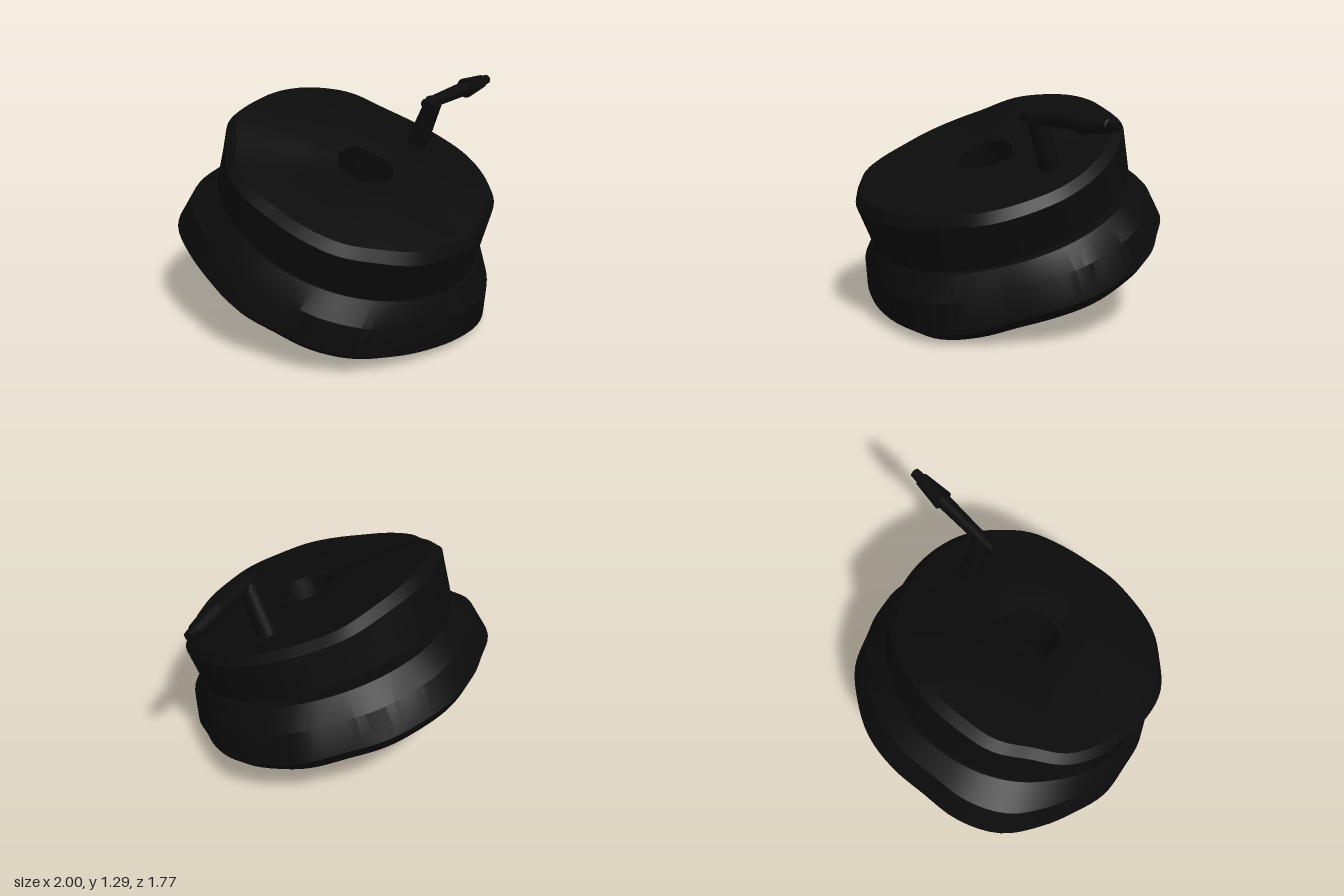
import * as THREE from 'three';
import { toCreasedNormals } from 'three/addons/utils/BufferGeometryUtils.js';

const SEG = 96;
const material = new THREE.MeshStandardMaterial({ color: 0x0b0b0b });

// Smooth closed interpolation of values at equal angles from +x towards +z, as offsets from their mean
function outline(values) {
  const n = values.length;
  const at = (i) => values[(i + n) % n];
  const mean = values.reduce((s, v) => s + v, 0) / n;
  return (angle) => {
    const u = (angle / (2 * Math.PI)) * n;
    const i = Math.floor(u), t = u - i;
    const [p, q, r, s] = [at(i - 1), at(i), at(i + 1), at(i + 2)];
    const value = 0.5 * (2 * q + (r - p) * t + (2 * p - 5 * q + 4 * r - s) * t * t + (3 * q - p - 3 * r + s) * t * t * t);
    return value - mean;
  };
}

// Stone lofted through rings [radius, height, share of the rough outline, share of the uneven relief]
function stone(name, rings, offset, relief) {
  const positions = [], index = [];
  for (const [radius, height, share, uneven] of rings) {
    for (let j = 0; j < SEG; j++) {
      const a = (j / SEG) * Math.PI * 2;
      const r = radius + share * offset(a);
      positions.push(r * Math.cos(a), height + uneven * relief(a), r * Math.sin(a));
    }
  }
  for (let i = 0; i < rings.length - 1; i++) {
    for (let j = 0; j < SEG; j++) {
      const k = (j + 1) % SEG;
      const a = i * SEG + j, b = i * SEG + k, c = a + SEG, d = b + SEG;
      if (rings[i + 1][0] > 0) index.push(b, c, d);
      if (rings[i][0] > 0) index.push(a, c, b);
    }
  }
  const geometry = new THREE.BufferGeometry();
  geometry.setAttribute('position', new THREE.Float32BufferAttribute(positions, 3));
  geometry.setIndex(index);
  const mesh = new THREE.Mesh(toCreasedNormals(geometry, 0.42), material);
  mesh.name = name;
  return mesh;
}

// Turned part with sharp steps
function turned(name, points) {
  const profile = points.map(([r, y]) => new THREE.Vector2(r, y));
  const mesh = new THREE.Mesh(toCreasedNormals(new THREE.LatheGeometry(profile, 24), 0.5), material);
  mesh.name = name;
  return mesh;
}

export function createModel() {
  const model = new THREE.Group();
  model.name = 'handMill';

  // Lower stone, tilted towards the front
  const lower = new THREE.Group();
  lower.name = 'lowerStoneTilt';
  lower.rotation.x = THREE.MathUtils.degToRad(19);
  const lowerOutline = outline([
    0.91, 0.91, 0.885, 0.87, 0.91, 0.94, 0.92, 0.9, 0.9, 0.92, 0.92, 0.895,
    0.91, 0.91, 0.94, 0.98, 0.96, 0.915, 0.92, 0.925, 0.915, 0.92, 0.9, 0.92,
  ]);
  const lowerRelief = outline([0, 0.006, -0.004, 0.006, -0.004, 0.004, -0.006, 0.004, -0.004, 0.006, -0.004, 0]);
  const lowerStone = stone('lowerStone', [
    [0, 0.242, 0, 0],
    [0.838, 0.242, 0.95, 0.6],
    [0.913, 0.325, 1, 1],
    [0.875, 0.5, 0.9, 1],
    [0.785, 0.62, 0.1, 0],
    [0, 0.62, 0, 0],
  ], lowerOutline, lowerRelief);
  lowerStone.position.set(-0.09, 0, -0.135);
  lower.add(lowerStone);
  model.add(lower);

  // Upper stone with a feed hole, tilted slightly more
  const upper = new THREE.Group();
  upper.name = 'upperStoneTilt';
  upper.rotation.x = THREE.MathUtils.degToRad(21.7);
  const upperOutline = outline([
    0.795, 0.81, 0.81, 0.805, 0.77, 0.755, 0.77, 0.78, 0.805, 0.805, 0.825, 0.81,
    0.795, 0.81, 0.815, 0.795, 0.82, 0.805, 0.8, 0.8, 0.805, 0.82, 0.79, 0.785,
  ]);
  const upperRelief = outline([-0.045, -0.02, 0, 0, 0.005, -0.01, -0.035, -0.045, -0.008, 0.005, -0.005, -0.045]);
  const upperStone = stone('upperStone', [
    [0.165, 0.65, 0, 0],
    [0.79, 0.65, 0.05, 0],
    [0.8, 0.9, 1, 0.8],
    [0.755, 0.953, 1, 1],
    [0.55, 0.965, 0.7, 1],
    [0.36, 0.973, 0.3, 0.7],
    [0.26, 0.965, 0, 0.4],
    [0.165, 0.952, 0, 0.3],
    [0.165, 0.65, 0, 0],
  ], upperOutline, upperRelief);
  upperStone.position.set(-0.105, 0, -0.18);
  upper.add(upperStone);

  // Upright post of the crank
  const post = turned('handlePost', [[0, 0.86], [0.067, 0.86], [0.05, 1.25], [0, 1.25]]);
  post.position.set(0.415, 0, -0.185);
  upper.add(post);

  // Horizontal arm with a flared conical grip and a stepped tip
  const arm = turned('handleArm', [
    [0, 0], [0.033, 0], [0.044, 0.425], [0.06, 0.425],
    [0.04, 0.61], [0.032, 0.615], [0.028, 0.67], [0, 0.67],
  ]);
  arm.rotation.z = -Math.PI / 2;
  arm.position.set(0.33, 1.246, -0.185);
  upper.add(arm);
  model.add(upper);

  return model;
}
